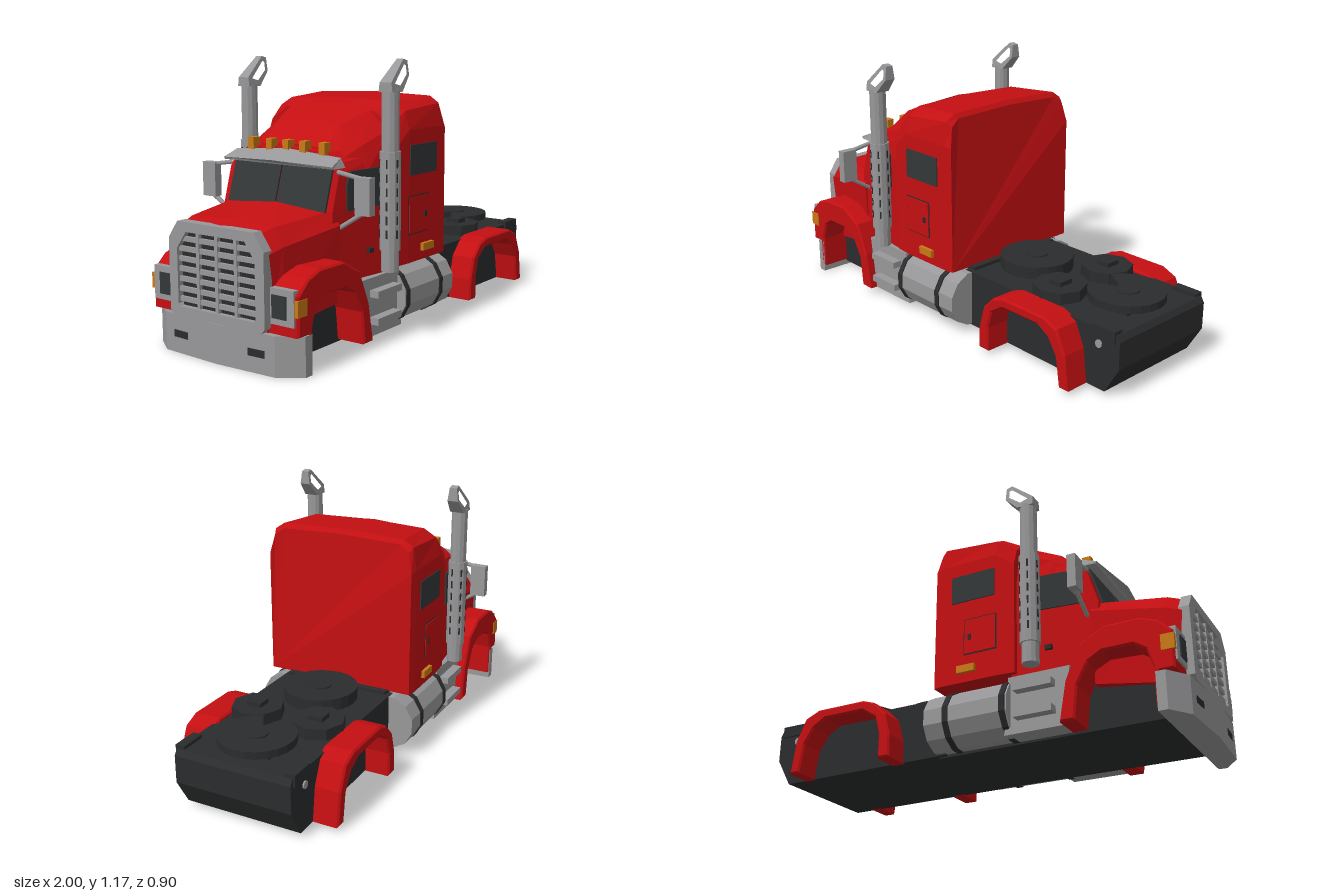
import * as THREE from 'three';

const mat = (name, color) => Object.assign(new THREE.MeshStandardMaterial({ color }), { name });
const red = mat('red paint', 0xc40f12);
const metal = mat('grey metal', 0x98989a);
const dark = mat('dark chassis', 0x2b2c2d);
const glass = mat('dark glass', 0x333738);
const amber = mat('amber lamp', 0xc97a16);

function add(parent, name, geo, material, x = 0, y = 0, z = 0) {
  const m = new THREE.Mesh(geo, material);
  m.name = name;
  m.position.set(x, y, z);
  parent.add(m);
  return m;
}
// box given by its x, y and z limits
const box = (g, name, material, [x0, x1], [y0, y1], [z0, z1]) =>
  add(g, name, new THREE.BoxGeometry(x1 - x0, y1 - y0, z1 - z0), material, (x0 + x1) / 2, (y0 + y1) / 2, (z0 + z1) / 2);
const facet = (geo) => {
  const f = geo.toNonIndexed();
  f.computeVertexNormals();
  return f;
};
const shapeOf = (pts) => new THREE.Shape(pts.map(([x, y]) => new THREE.Vector2(x, y)));
// outline in x/y, extruded from z0 to z1, with an optional hole
function slab(pts, z0, z1, hole, bevel = 0) {
  const s = shapeOf(pts);
  if (hole) s.holes.push(shapeOf(hole));
  const geo = new THREE.ExtrudeGeometry(s, {
    depth: z1 - z0 - bevel, bevelEnabled: bevel > 0, bevelSize: bevel, bevelThickness: bevel, bevelOffset: -bevel, bevelSegments: 1,
  });
  return geo.translate(0, 0, z0);
}
// rings of [x, y, z], each from the lower side up to the middle, mirrored in z and skinned along x
function loft(halves) {
  const rings = halves.map((h) => [...h, ...h.slice(0, -1).reverse().map(([x, y, z]) => [x, y, -z])]);
  const n = rings[0].length, pos = [];
  const tri = (...p) => p.forEach((v) => pos.push(...v));
  for (let i = 0; i < rings.length - 1; i++) {
    for (let j = 0; j < n; j++) {
      const k = (j + 1) % n, a = rings[i][j], b = rings[i][k], c = rings[i + 1][k], d = rings[i + 1][j];
      tri(a, d, c);
      tri(a, c, b);
    }
  }
  const first = rings[0], last = rings[rings.length - 1];
  for (let k = 1; k < n - 1; k++) {
    tri(first[0], first[k], first[k + 1]);
    tri(last[0], last[k + 1], last[k]);
  }
  const geo = new THREE.BufferGeometry();
  geo.setAttribute('position', new THREE.Float32BufferAttribute(pos, 3));
  geo.computeVertexNormals();
  return geo;
}
const at = (x, pts) => pts.map(([z, y]) => [x, y, z]);

function buildBody(g) {
  add(g, 'hood', loft([
    at(-0.965, [[0.24, 0.16], [0.25, 0.46], [0.2, 0.53], [0, 0.545]]),
    at(-0.9, [[0.26, 0.16], [0.265, 0.48], [0.215, 0.55], [0, 0.56]]),
    at(-0.6, [[0.29, 0.2], [0.305, 0.52], [0.26, 0.575], [0, 0.595]]),
  ]), red);
  add(g, 'cab', loft([
    [[-0.63, 0.28, 0.29], [-0.63, 0.57, 0.29], [-0.585, 0.72, 0.29], [-0.57, 0.76, 0.27], [-0.55, 0.8, 0.22], [-0.55, 0.81, 0]],
    at(-0.25, [[0.335, 0.28], [0.335, 0.57], [0.335, 0.72], [0.31, 0.79], [0.25, 0.82], [0, 0.83]]),
  ]), red);
  add(g, 'roofFairing', loft([
    at(-0.52, [[0.26, 0.74], [0.25, 0.77], [0.17, 0.81], [0, 0.82]]),
    at(-0.42, [[0.315, 0.72], [0.28, 0.82], [0.17, 0.9], [0, 0.915]]),
    at(-0.25, [[0.335, 0.72], [0.31, 0.88], [0.22, 0.965], [0, 0.98]]),
  ]), red);
  add(g, 'sleeper', loft([
    at(-0.275, [[0.355, 0.295], [0.355, 0.8], [0.325, 0.89], [0.24, 0.95], [0, 0.97]]),
    at(-0.19, [[0.362, 0.295], [0.362, 0.87], [0.34, 0.95], [0.28, 0.985], [0, 0.995]]),
    at(0.07, [[0.362, 0.295], [0.362, 0.87], [0.345, 0.97], [0.3, 1], [0, 1.01]]),
    [[0.11, 0.295, 0.355], [0.11, 0.86, 0.355], [0.095, 0.95, 0.335], [0.085, 0.98, 0.29], [0.085, 0.99, 0]],
  ]), red);
  // windscreen in two panes under a peaked visor
  for (const s of [-1, 1]) {
    add(g, 'windscreen', new THREE.BoxGeometry(0.009, 0.19, 0.255), glass, -0.608, 0.662, s * 0.132).rotation.z = -0.3;
  }
  add(g, 'sunVisor', loft([
    [[-0.625, 0.745, 0.29], [-0.63, 0.755, 0.29], [-0.66, 0.765, 0]],
    [[-0.55, 0.745, 0.295], [-0.56, 0.785, 0.28], [-0.56, 0.805, 0]],
  ]), metal);
  for (const z of [-0.19, -0.09, 0, 0.09, 0.19]) box(g, 'roofLamp', amber, [-0.57, -0.53], [0.79, 0.84], [z - 0.016, z + 0.016]);
}

function buildFront(g) {
  const bumper = slab([[-0.92, -0.385], [-0.985, -0.29], [-1, 0], [-0.985, 0.29], [-0.92, 0.385], [-0.88, 0.385], [-0.88, -0.385]], 0, 0.16);
  add(g, 'bumper', bumper.rotateX(-Math.PI / 2), metal);
  const ring = (w, top, y0, c) => [[-w + c, y0], [w - c, y0], [w, y0 + c], [w, top - 0.07], [w - 0.05, top], [-w + 0.05, top], [-w, top - 0.07], [-w, y0 + c]];
  const frame = slab(ring(0.25, 0.545, 0.16, 0.02), 0, 0.045, ring(0.205, 0.505, 0.2, 0.01));
  add(g, 'grilleFrame', frame.rotateY(Math.PI / 2), metal, -0.995);
  add(g, 'grilleBack', new THREE.BoxGeometry(0.008, 0.31, 0.4), dark, -0.968, 0.35);
  for (let i = 0; i < 7; i++) box(g, 'grilleSlat', metal, [-0.985, -0.97], [0.218 + i * 0.041, 0.238 + i * 0.041], [-0.205, 0.205]);
  for (const z of [-0.1, 0, 0.1]) box(g, 'grilleUpright', metal, [-0.988, -0.97], [0.2, 0.505], [z - 0.008, z + 0.008]);
}

function buildChassis(g) {
  box(g, 'frontChassis', dark, [-0.9, 0.14], [0.02, 0.3], [-0.25, 0.25]);
  add(g, 'rearChassis', slab([[0.1, 0.025], [0.93, 0.02], [1, 0.14], [1, 0.26], [0.985, 0.285], [0.1, 0.285]], -0.27, 0.27), dark);
  const disc = (name, x, z, r, y0, y1, n) =>
    add(g, name, facet(new THREE.CylinderGeometry(r, r, y1 - y0, n)), dark, x, (y0 + y1) / 2, z);
  disc('turntable', 0.28, 0, 0.165, 0.28, 0.34, 24);
  disc('turntableHub', 0.28, 0, 0.05, 0.34, 0.346, 16);
  for (const s of [-1, 1]) {
    disc('axleCover', 0.565, s * 0.15, 0.115, 0.28, 0.335, 8);
    box(g, 'axleCap', dark, [0.535, 0.6], [0.33, 0.355], [s * 0.15 - 0.035, s * 0.15 + 0.035]);
  }
  // coupling plate with a V notch
  const plate = [[0.77, 0]];
  for (let i = 0; i <= 20; i++) {
    const a = Math.PI - 0.45 - (i / 20) * (2 * Math.PI - 0.9);
    plate.push([0.805 + 0.165 * Math.cos(a), 0.165 * Math.sin(a)]);
  }
  add(g, 'couplingPlate', slab(plate, 0.305, 0.338).rotateX(-Math.PI / 2), dark);
  disc('couplingHub', 0.81, 0, 0.05, 0.338, 0.344, 16);
  box(g, 'couplingBase', dark, [0.72, 0.9], [0.28, 0.306], [-0.11, 0.11]);
}

function buildStack(g) {
  const s = new THREE.Group();
  s.name = 'exhaustStack';
  s.position.set(-0.362, 0, 0.383);
  g.add(s);
  const pipe = (name, r, y0, y1) => add(s, name, facet(new THREE.CylinderGeometry(r, r, y1 - y0, 12)), metal, 0, (y0 + y1) / 2);
  pipe('lowerPipe', 0.037, 0.3, 0.4);
  pipe('heatShield', 0.044, 0.39, 0.8);
  pipe('upperPipe', 0.037, 0.8, 1.05);
  for (let row = 0; row < 6; row++) {
    for (let i = 0; i < 6; i++) {
      const a = (i + 0.5) * Math.PI / 3 + Math.PI / 12;
      const slot = add(s, 'shieldSlot', new THREE.BoxGeometry(0.007, 0.035, 0.005), dark, 0.0425 * Math.sin(a), 0.46 + row * 0.058, 0.0425 * Math.cos(a));
      slot.rotation.y = a;
    }
  }
  // slanted open tip, tapering upwards
  const tip = slab([[-0.037, 1.04], [-0.037, 1.08], [0.068, 1.172], [0.095, 1.165], [0.097, 1.105], [0.037, 1.04]], -0.034, 0.034,
    [[-0.012, 1.075], [0.068, 1.15], [0.08, 1.145], [0.08, 1.11], [0.025, 1.065]]);
  const p = tip.attributes.position;
  for (let i = 0; i < p.count; i++) p.setZ(i, p.getZ(i) * (1 - (p.getY(i) - 1.04) * 4));
  tip.computeVertexNormals();
  add(s, 'stackTip', tip, metal);
}

function buildSide(g) {
  // arched mudguards
  add(g, 'frontFender', slab([[-0.96, 0.16], [-0.96, 0.32], [-0.9, 0.375], [-0.83, 0.4], [-0.68, 0.4], [-0.57, 0.34], [-0.51, 0.2], [-0.48, 0.03],
    [-0.545, 0.03], [-0.56, 0.17], [-0.61, 0.26], [-0.67, 0.293], [-0.8, 0.293], [-0.85, 0.26], [-0.875, 0.18], [-0.875, 0.03], [-0.9, 0.03], [-0.9, 0.16]],
  0.24, 0.385, null, 0.008), red);
  add(g, 'rearFender', slab([[0.31, 0.02], [0.312, 0.12], [0.34, 0.22], [0.4, 0.28], [0.46, 0.3], [0.7, 0.3], [0.77, 0.27], [0.815, 0.17], [0.835, 0.02],
    [0.785, 0.02], [0.765, 0.15], [0.72, 0.22], [0.66, 0.255], [0.46, 0.255], [0.39, 0.21], [0.368, 0.13], [0.368, 0.02]], 0.26, 0.385, null, 0.008), red);
  // lamps on the front corner
  box(g, 'headlampHousing', metal, [-0.968, -0.94], [0.2, 0.34], [0.255, 0.37]);
  box(g, 'headlamp', glass, [-0.973, -0.966], [0.225, 0.315], [0.265, 0.335]);
  box(g, 'cornerLamp', amber, [-0.965, -0.91], [0.24, 0.305], [0.34, 0.388]);
  add(g, 'bumperVent', new THREE.BoxGeometry(0.008, 0.03, 0.08), dark, -0.987, 0.08, 0.2).rotation.y = 0.05;
  // steps and fuel tank
  add(g, 'stepPanel', slab([[-0.515, 0.28], [-0.24, 0.28], [-0.22, 0.03], [-0.48, 0.03]], 0.24, 0.345), metal);
  for (const y of [0.1, 0.215]) box(g, 'stepTread', metal, [-0.45, -0.28], [y - 0.015, y + 0.015], [0.34, 0.388]);
  const drum = (name, r, x0, x1, m) => {
    const geo = facet(new THREE.CylinderGeometry(r, r, x1 - x0, 12).rotateY(Math.PI / 12).rotateZ(Math.PI / 2));
    add(g, name, geo, m, (x0 + x1) / 2, 0.157, 0.262);
  };
  drum('fuelTank', 0.129, -0.25, 0.14, metal);
  for (const x of [-0.23, 0.035]) drum('tankStrap', 0.134, x - 0.013, x + 0.013, dark);
  buildStack(g);
  // door window and hatch details
  const door = add(g, 'doorWindow', slab([[-0.07, -0.08], [0.12, -0.08], [0.12, 0.08], [-0.05, 0.08], [-0.07, 0.03]], 0, 0.008), glass, -0.48, 0.65, 0.306);
  door.rotation.y = -0.125;
  box(g, 'doorHandle', dark, [-0.43, -0.4], [0.38, 0.4], [0.31, 0.33]);
  box(g, 'sleeperWindow', glass, [-0.185, 0.025], [0.675, 0.805], [0.36, 0.367]);
  box(g, 'hatchSeam', dark, [-0.194, -0.036], [0.418, 0.586], [0.358, 0.3635]);
  box(g, 'hatch', red, [-0.189, -0.041], [0.423, 0.581], [0.36, 0.367]);
  box(g, 'hatchLatch', dark, [-0.075, -0.06], [0.485, 0.51], [0.363, 0.371]);
  box(g, 'sideMarker', amber, [-0.095, -0.01], [0.335, 0.368], [0.36, 0.378]);
  // mirror on its bracket
  box(g, 'mirror', metal, [-0.6, -0.562], [0.57, 0.72], [0.375, 0.448]);
  for (const [y0, y1] of [[0.5, 0.58], [0.73, 0.71]]) {
    const arm = new THREE.LineCurve3(new THREE.Vector3(-0.58, y0, 0.28), new THREE.Vector3(-0.58, y1, 0.41));
    add(g, 'mirrorArm', new THREE.TubeGeometry(arm, 1, 0.01, 6), metal);
  }
  add(g, 'rearLamp', facet(new THREE.CylinderGeometry(0.017, 0.017, 0.01, 10).rotateX(Math.PI / 2)), metal, 0.895, 0.22, 0.272);
  box(g, 'rearBracket', dark, [0.86, 0.98], [0.25, 0.3], [0.235, 0.278]);
}

export function createModel() {
  const model = new THREE.Group();
  model.name = 'truck';
  buildBody(model);
  buildFront(model);
  buildChassis(model);
  const near = new THREE.Group();
  near.name = 'nearSideParts';
  buildSide(near);
  const far = near.clone();
  far.name = 'farSideParts';
  far.scale.z = -1;
  model.add(near, far);
  return model;
}
